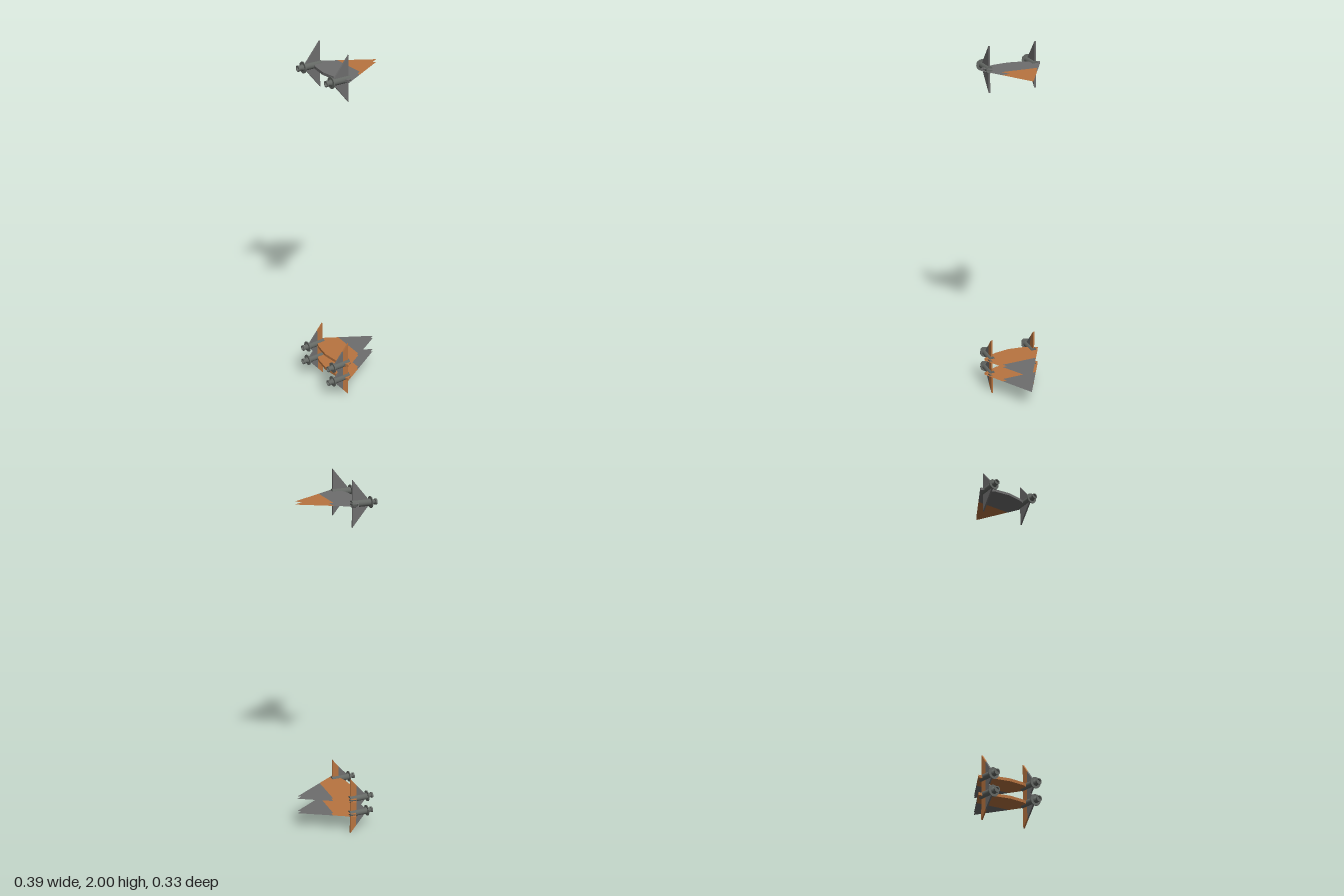
import * as THREE from 'three';

const mat = (name, color, side = THREE.FrontSide) => {
  const m = new THREE.MeshStandardMaterial({ color, side });
  m.name = name;
  return m;
};
const grey = mat('hull grey', 0x6e6e6e, THREE.DoubleSide);
const orange = mat('hull orange', 0xb87440, THREE.DoubleSide);
const metal = mat('engine grey', 0x646864, THREE.DoubleSide);

const POD_Z = 0.127;   // engine distance from the centre line
const HALF = 0.0075;   // half the hull thickness
const SPLIT = 0.024;   // where nose colour meets body colour
const TAIL = [[-0.086, 0.163], [-0.118, 0.085], [-0.13, 0], [-0.118, -0.085], [-0.086, -0.163]];

function add(parent, name, geometry, material) {
  const mesh = new THREE.Mesh(geometry, material);
  mesh.name = name;
  parent.add(mesh);
  return mesh;
}

const shapeOf = (points) => new THREE.Shape(points.map(([x, y]) => new THREE.Vector2(x, y)));

// Flat top and bottom sheets, open along the two slanted edges
function addSheets(parent, name, points, material) {
  for (const side of [1, -1]) {
    const g = new THREE.ShapeGeometry(shapeOf(points));
    g.rotateX(-side * Math.PI / 2);
    add(parent, name + (side > 0 ? 'Top' : 'Bottom'), g, material).position.y = side * HALF;
  }
}

// Straight wall panels following the curved tail
function addTailWall(parent, material) {
  for (let i = 0; i < TAIL.length - 1; i++) {
    const [x0, z0] = TAIL[i], [x1, z1] = TAIL[i + 1];
    const g = new THREE.PlaneGeometry(Math.hypot(x1 - x0, z1 - z0), 2 * HALF);
    g.rotateY(-Math.atan2(z1 - z0, x1 - x0));
    add(parent, 'tailWall', g, material).position.set((x0 + x1) / 2, 0, (z0 + z1) / 2);
  }
}

// Upright swept fin, split into a rear and a front piece
function addFin(parent, rearMaterial, frontMaterial) {
  const depth = 0.009, mid = 0.079, tip = 0.122;
  const pieces = [
    ['finRear', [[-0.165, 0], [-0.1, -mid], [-0.1, mid]], rearMaterial],
    ['finFront', [[-0.1, -mid], [-0.065, -tip], [-0.065, tip], [-0.1, mid]], frontMaterial],
  ];
  for (const [name, points, material] of pieces) {
    const g = new THREE.ExtrudeGeometry(shapeOf(points), { depth, bevelEnabled: false });
    add(parent, name, g.translate(0, 0, -depth / 2), material);
  }
}

// Engine: barrel, narrowing nozzle with a lip, and a thin collar disc
function addEngine(parent, side) {
  const profile = [[0, -0.06], [0.018, -0.06], [0.018, -0.165], [0.01, -0.187],
    [0.016, -0.188], [0.016, -0.197], [0.011, -0.197], [0.009, -0.188], [0, -0.188]];
  // Repeated points keep each band of the lathe crisp
  for (let i = 0; i < profile.length - 1; i++) {
    const band = [profile[i], profile[i + 1]].map(([r, x]) => new THREE.Vector2(r, -x));
    add(parent, 'engineBarrel', new THREE.LatheGeometry(band, 20).rotateZ(Math.PI / 2), metal);
  }
  const collar = new THREE.CylinderGeometry(0.03, 0.03, 0.005, 20).rotateZ(Math.PI / 2);
  add(parent, 'engineCollar', collar, metal).position.x = -0.165;
  const stub = add(parent, 'engineStub', new THREE.BoxGeometry(0.01, 0.012, 0.006), metal);
  stub.position.set(-0.092, 0, side * 0.016);
}

function createCraft(name, y, body, nose, finRear, finFront) {
  const craft = new THREE.Group();
  craft.name = name;
  craft.position.y = y;
  const [cx, cz] = TAIL[0];
  const w = cz * (0.195 - SPLIT) / (0.195 - cx);
  addSheets(craft, 'body', [...TAIL, [SPLIT, -w], [SPLIT, w]], body);
  addSheets(craft, 'nose', [[SPLIT, w], [SPLIT, -w], [0.195, 0]], nose);
  addTailWall(craft, body);
  for (const side of [1, -1]) {
    const pod = new THREE.Group();
    pod.name = side > 0 ? 'leftPod' : 'rightPod';
    pod.position.z = side * POD_Z;
    addEngine(pod, side);
    addFin(pod, finRear, finFront);
    craft.add(pod);
  }
  return craft;
}

export function createModel() {
  const model = new THREE.Group();
  model.name = 'gliderFlight';
  // One grey craft high above a close pair of orange craft
  model.add(createCraft('highCraft', 1.878, grey, orange, grey, grey));
  model.add(createCraft('upperPairCraft', 0.216, orange, grey, grey, orange));
  model.add(createCraft('lowerPairCraft', 0.126, orange, grey, grey, orange));
  return model;
}
